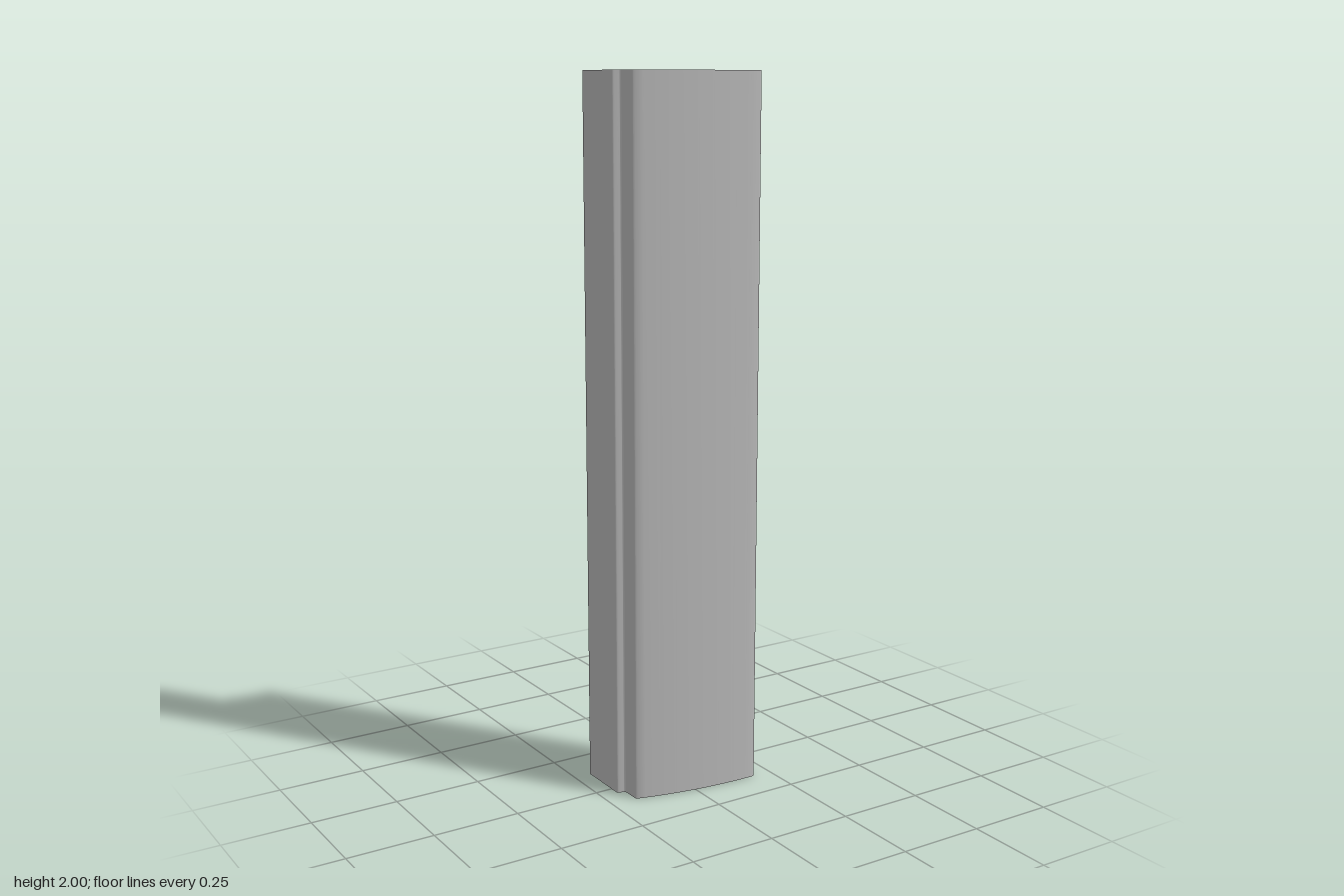
import * as THREE from 'three';
import { toCreasedNormals } from 'three/addons/utils/BufferGeometryUtils.js';

const HEIGHT = 2;

// Cross-section drawn in (x, -z), so that it stands upright once turned
function sealProfile() {
  const s = new THREE.Shape();
  const line = (x, z) => s.lineTo(x, -z);
  const curve = (cx, cz, x, z) => s.quadraticCurveTo(cx, -cz, x, -z);

  // Outer wall and rounded back of the hollow stem
  s.moveTo(-0.2, 0);
  line(-0.2, -0.123);
  s.bezierCurveTo(-0.184, 0.155, -0.134, 0.155, -0.118, 0.123);
  // Barb
  curve(-0.101, -0.084, -0.088, -0.041);
  curve(-0.088, -0.036, -0.092, -0.037);
  line(-0.106, -0.045);
  curve(-0.115, -0.047, -0.115, -0.038);
  // Inner wall and inside of the curved lip
  line(-0.115, 0.042);
  curve(-0.115, 0.047, -0.11, 0.05);
  curve(0.03, 0.111, 0.185, 0.111);
  // Rounded tip
  s.absarc(0.184, -0.127, 0.016, Math.PI / 2, 0, true);
  line(0.2, 0.13);
  curve(0.199, 0.145, 0.184, 0.145);
  // Outside of the lip, heel and step
  curve(0, 0.145, -0.17, 0.096);
  curve(-0.176, 0.094, -0.176, 0.088);
  line(-0.176, 0.046);
  curve(-0.177, 0.036, -0.187, 0.035);
  line(-0.195, 0.034);
  curve(-0.2, 0.033, -0.2, 0.028);
  s.closePath();

  // Slot running the full length of the stem
  const slot = new THREE.Path();
  slot.absarc(-0.159, 0.104, 0.016, 0, Math.PI, false);
  slot.absarc(-0.159, -0.002, 0.016, Math.PI, Math.PI * 2, false);
  slot.closePath();
  s.holes.push(slot);
  return s;
}

export function createModel() {
  const group = new THREE.Group();
  group.name = 'sealStrip';
  const grey = new THREE.MeshStandardMaterial({ color: 0xb8b8b8 });
  grey.name = 'grey';

  const extruded = new THREE.ExtrudeGeometry(sealProfile(), {
    depth: HEIGHT, bevelEnabled: false, curveSegments: 16,
  });
  extruded.rotateX(-Math.PI / 2);
  const strip = new THREE.Mesh(toCreasedNormals(extruded, Math.PI / 6), grey);
  strip.name = 'extrudedProfile';
  group.add(strip);
  return group;
}
